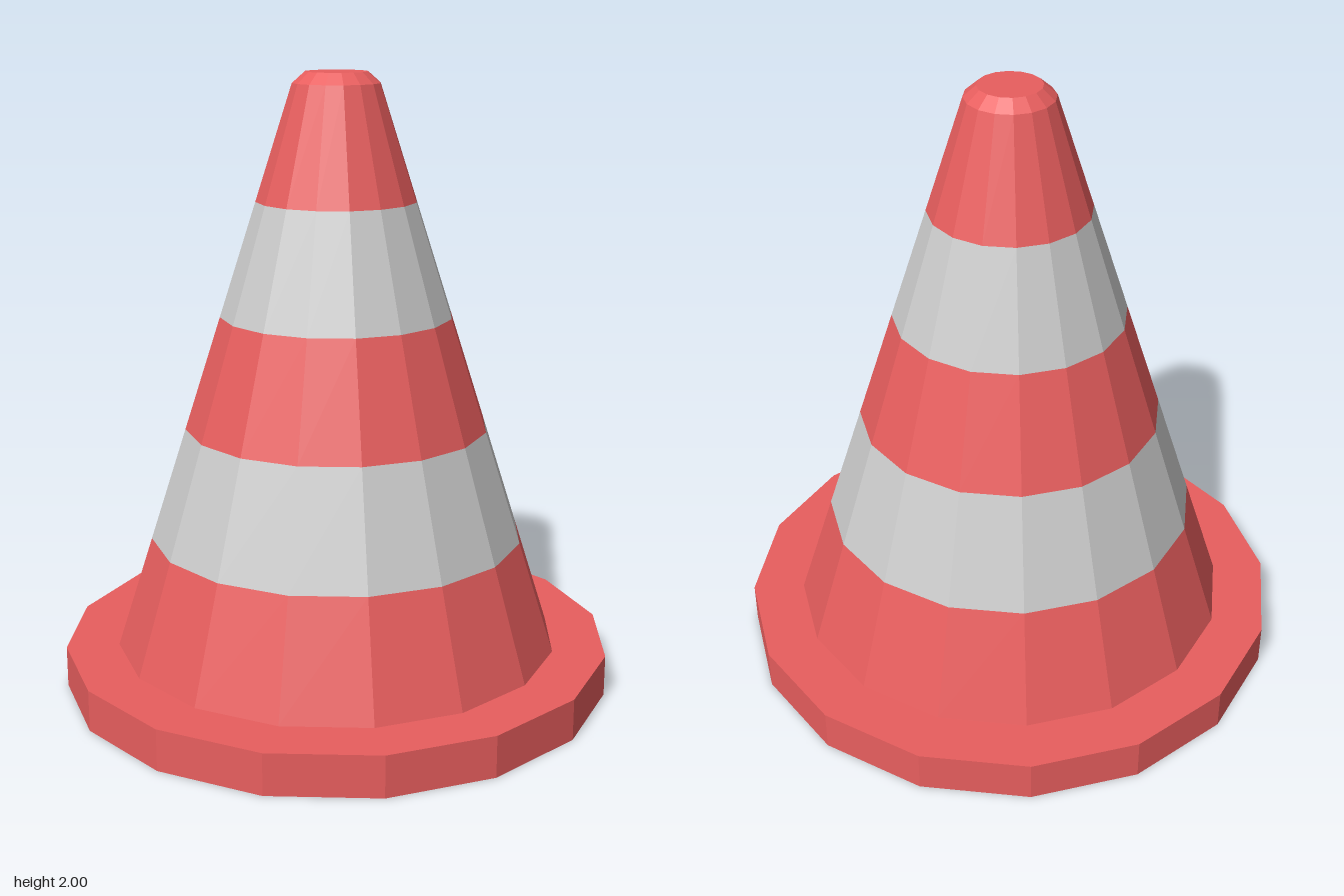
import * as THREE from 'three';

const SIDES = 16;

export function createModel() {
  const model = new THREE.Group();
  model.name = 'trafficCone';

  const red = new THREE.MeshStandardMaterial({ color: 0xe85e5e, flatShading: true });
  const grey = new THREE.MeshStandardMaterial({ color: 0xcccccc, flatShading: true });

  // A ring-shaped slice between two heights, open unless it needs end caps
  function addSlice(name, material, y0, y1, r0, r1, open = true) {
    const geometry = new THREE.CylinderGeometry(r1, r0, y1 - y0, SIDES, 1, open);
    geometry.translate(0, (y0 + y1) / 2, 0);
    const mesh = new THREE.Mesh(geometry, material);
    mesh.name = name;
    model.add(mesh);
  }

  // Flat base plate
  const baseTop = 0.135;
  addSlice('base', red, 0, baseTop, 0.903, 0.903, false);

  // Tapered body in five equal bands of alternating colour
  const bodyTop = 1.965, bottomRadius = 0.73, topRadius = 0.14;
  const bands = ['lowerBody', 'lowerStripe', 'middleBody', 'upperStripe', 'upperBody'];
  const heightAt = (i) => THREE.MathUtils.lerp(baseTop, bodyTop, i / bands.length);
  const radiusAt = (i) => THREE.MathUtils.lerp(bottomRadius, topRadius, i / bands.length);
  bands.forEach((name, i) => {
    addSlice(name, i % 2 ? grey : red, heightAt(i), heightAt(i + 1), radiusAt(i), radiusAt(i + 1));
  });

  // Bevelled tip with a flat top
  addSlice('tip', red, bodyTop, 2, topRadius, 0.1, false);

  return model;
}
